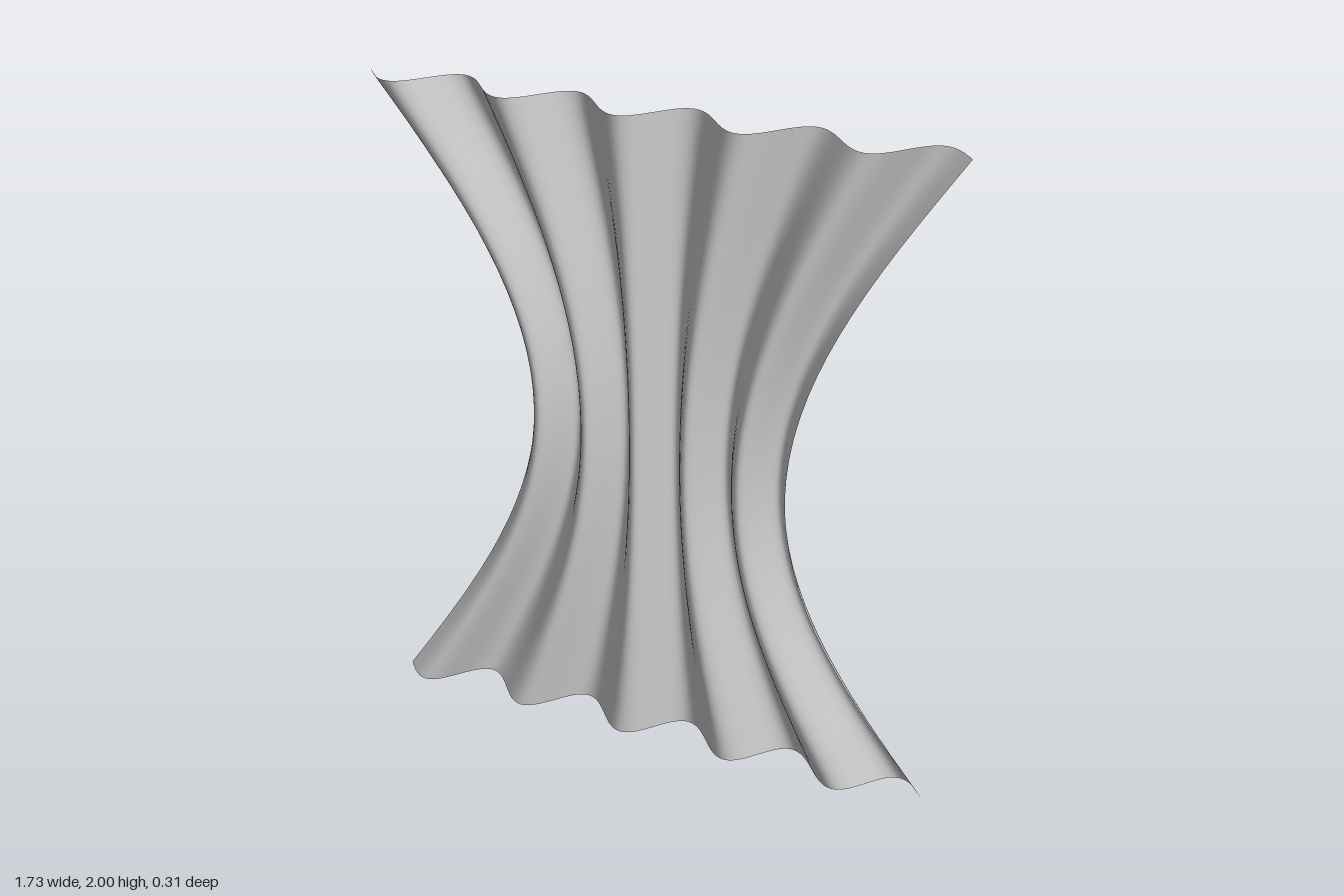
import * as THREE from 'three';

const HALF_WIDTH = 0.865; // half width at the top and bottom edges
const PINCH = 0.415;      // how far the sides draw in at the waist
const LEAN = 0.13;        // how far the sides swing in depth at the waist
const RIPPLE = 0.066;     // depth of the folds
const FOLDS = 5;

export function createModel() {
  const group = new THREE.Group();
  group.name = 'pleatedSheet';

  // Flat grid, gathered at mid height and folded into vertical waves
  const geometry = new THREE.PlaneGeometry(2, 2, 120, 32);
  const pos = geometry.attributes.position;
  for (let i = 0; i < pos.count; i++) {
    const u = pos.getX(i);
    const y = pos.getY(i) + 1;
    const gather = Math.sin((Math.PI * y) / 2);
    const x = u * (HALF_WIDTH - PINCH * gather);
    const z = u * LEAN * gather - RIPPLE * Math.sin(Math.PI * FOLDS * u);
    pos.setXYZ(i, x, y, z);
  }
  geometry.computeVertexNormals();

  const sheet = new THREE.Mesh(
    geometry,
    new THREE.MeshStandardMaterial({ color: 0xcccccc, side: THREE.DoubleSide })
  );
  sheet.name = 'sheet';
  group.add(sheet);
  return group;
}
